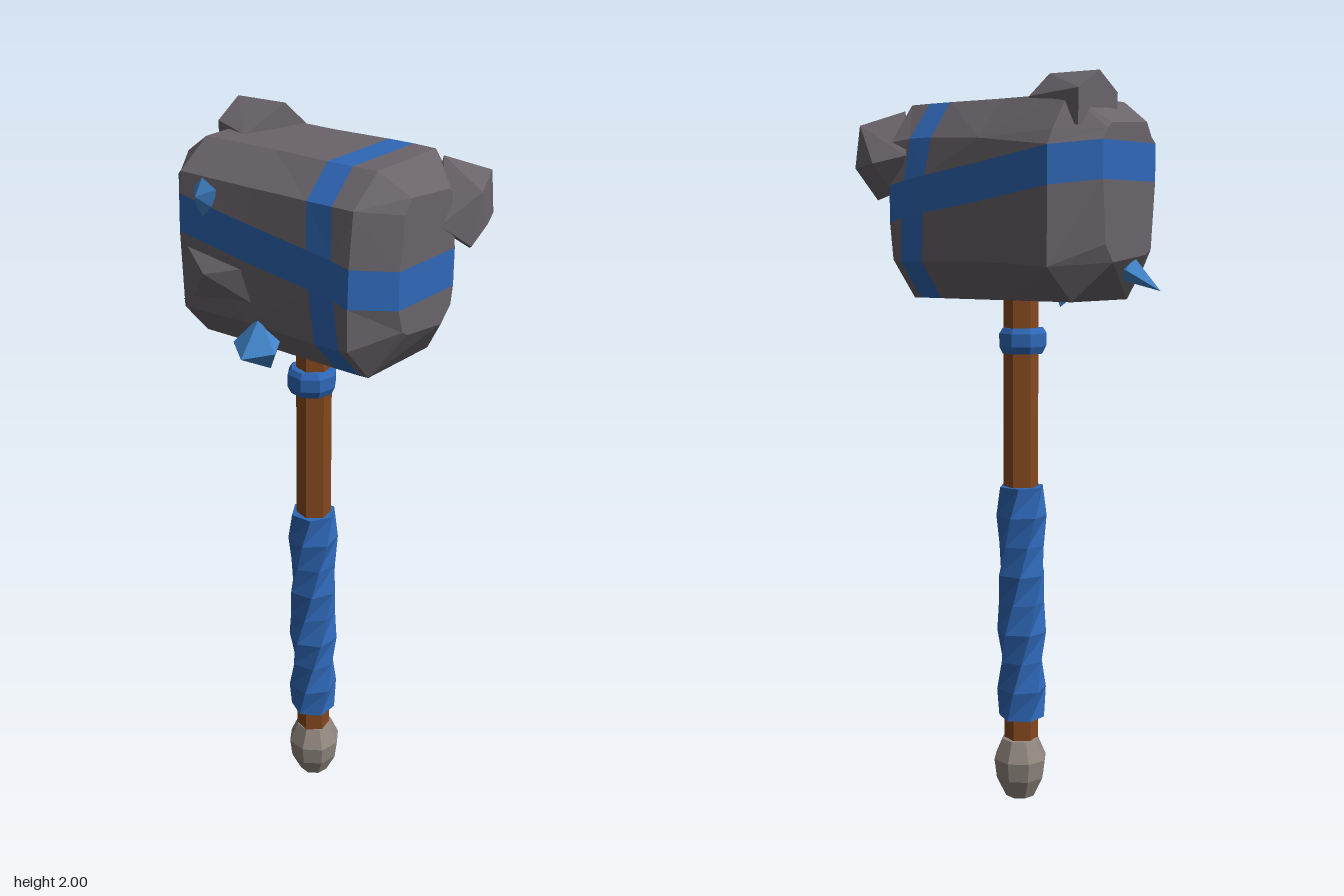
import * as THREE from 'three';
import { ConvexGeometry } from 'three/addons/geometries/ConvexGeometry.js';

const mat = (color) => new THREE.MeshStandardMaterial({ color, flatShading: true, roughness: 0.9 });
const ROCK = mat(0x6a646a), BLUE = mat(0x2f68b8), CRYSTAL = mat(0x4285cc), WOOD = mat(0x85481f), STONE = mat(0x91877f);

function add(group, name, geometry, material) {
  const mesh = new THREE.Mesh(geometry, material);
  mesh.name = name;
  group.add(mesh);
  return mesh;
}

// Faceted convex chunk from a few corner points
const chunk = (points) => new ConvexGeometry(points.map((p) => new THREE.Vector3(...p)));

function fromTriangles(list) {
  const g = new THREE.BufferGeometry();
  g.setAttribute('position', new THREE.Float32BufferAttribute(list.flat(), 3));
  g.computeVertexNormals();
  return g;
}

// Centre height of the slanting strap along the head
const strapY = (x) => 1.72 - 0.165 * x;

// Cross-section as [z, y]; a null y follows the strap (upper or lower edge)
const FULL = [[0.205, null], [0.208, null], [0.2, 1.51], [0.12, 1.42], [-0.14, 1.42], [-0.23, 1.52],
  [-0.237, null], [-0.237, null], [-0.22, 1.845], [-0.15, 1.94], [0.1, 1.935], [0.19, 1.86]];
const END = [[0.11, null], [0.11, null], [0.1, 1.56], [0.06, 1.53], [-0.07, 1.53], [-0.12, 1.56],
  [-0.125, null], [-0.125, null], [-0.11, 1.85], [-0.08, 1.875], [0.06, 1.87], [0.1, 1.85]];

function buildHead(group) {
  // x of each station, section used, and how far x leans with height
  const stations = [[-0.345, END, 0], [-0.255, FULL, 0], [-0.03, FULL, 0],
    [0.135, FULL, 1], [0.21, FULL, 1], [0.28, FULL, 0], [0.36, END, 0]];
  const rings = stations.map(([x0, section, lean], i) => section.map(([z, y0], j) => {
    const upper = j === 0 || j === 7;
    const y = y0 === null ? strapY(x0) + (upper ? 0.049 : -0.049) : y0;
    const x = x0 + lean * (1.94 - y) * 0.09;
    // small regular unevenness on the rock corners
    const bump = y0 === null || lean ? 0 : 0.009 * Math.sin(i * 4.1 + j * 2.7);
    return [x, y + (y > 1.9 || y < 1.45 ? 0 : bump), z + bump];
  }));

  const rock = [], strap = [];
  const quad = (out, a, b, c, d, flip) => out.push(...(flip ? [a, b, d, b, c, d] : [a, b, c, a, c, d]));
  for (let i = 0; i < rings.length - 1; i++) {
    for (let j = 0; j < 12; j++) {
      const k = (j + 1) % 12;
      const isStrap = i === 3 || j === 0 || j === 6;
      quad(isStrap ? strap : rock, rings[i][j], rings[i][k], rings[i + 1][k], rings[i + 1][j], (i + j) % 2);
    }
  }
  // Ends, closed in rows from top to bottom
  const rows = [[10, 9], [11, 8], [0, 7], [1, 6], [2, 5], [3, 4]];
  const first = rings[0], last = rings[rings.length - 1];
  for (let r = 0; r < rows.length - 1; r++) {
    const [p, q] = rows[r], [s, t] = rows[r + 1];
    const out = r === 2 ? strap : rock;
    quad(out, last[p], last[s], last[t], last[q]);
    quad(out, first[q], first[t], first[s], first[p]);
  }
  add(group, 'headRock', fromTriangles(rock), ROCK);
  add(group, 'headStraps', fromTriangles(strap), BLUE);
}

// Low-poly turned piece from [radius, y] points
function turned(profile, sides, x, z, turn = 0) {
  const g = new THREE.LatheGeometry(profile.map(([r, y]) => new THREE.Vector2(r, y)), sides);
  return g.rotateY(turn).translate(x, 0, z);
}

export function createModel() {
  const model = new THREE.Group();
  model.name = 'warHammer';

  // Head with its outgrowths
  const head = new THREE.Group();
  head.name = 'head';
  model.add(head);
  buildHead(head);
  add(head, 'topRock', chunk([[-0.3, 2, -0.08], [-0.15, 2, -0.09], [-0.3, 1.95, -0.17], [-0.13, 1.94, -0.15],
    [-0.3, 1.95, 0], [-0.185, 1.935, 0.03], [-0.3, 1.86, -0.17], [-0.13, 1.86, -0.15],
    [-0.3, 1.87, 0], [-0.185, 1.86, 0.03]]), ROCK);
  add(head, 'cornerRock', chunk([[0.3, 1.925, -0.15], [0.385, 1.885, -0.24], [0.41, 1.85, -0.16], [0.3, 1.78, -0.28],
    [0.38, 1.77, -0.265], [0.405, 1.72, -0.13], [0.405, 1.76, -0.2], [0.35, 1.685, -0.21],
    [0.355, 1.78, -0.06], [0.22, 1.8, -0.235], [0.28, 1.7, -0.225]]), ROCK);
  add(head, 'frontRock', chunk([[-0.15, 1.63, 0.24], [-0.25, 1.69, 0.2], [-0.23, 1.53, 0.195], [0.01, 1.56, 0.2],
    [-0.03, 1.66, 0.2], [-0.12, 1.6, 0.1]]), ROCK);

  // Crystals
  add(head, 'frontCrystal', chunk([[0.005, 1.45, 0.28], [0, 1.54, 0.2], [-0.065, 1.465, 0.228], [0.072, 1.465, 0.228],
    [0.005, 1.39, 0.165], [0, 1.48, 0.1]]), CRYSTAL);
  add(head, 'sideCrystal', chunk([[-0.412, 1.447, 0.04], [-0.335, 1.535, 0.03], [-0.335, 1.5, -0.005],
    [-0.335, 1.48, 0.06], [-0.29, 1.475, 0.03], [-0.24, 1.51, 0.03]]), CRYSTAL);
  add(head, 'smallCrystal', chunk([[-0.175, 1.865, 0.205], [-0.21, 1.835, 0.2], [-0.135, 1.84, 0.2], [-0.205, 1.79, 0.2],
    [-0.14, 1.79, 0.2], [-0.175, 1.763, 0.205], [-0.18, 1.82, 0.228], [-0.175, 1.81, 0.15]]), CRYSTAL);

  // Shaft, collar and pommel
  add(model, 'shaft', turned([[0.048, 0.14], [0.048, 1.46]], 6, 0.01, -0.008, 0.2), WOOD);
  add(model, 'collar', turned([[0.04, 1.27], [0.058, 1.27], [0.068, 1.29], [0.068, 1.325], [0.058, 1.34], [0.04, 1.34]],
    8, 0.006, -0.004, 0.2), BLUE);
  add(model, 'pommel', turned([[0, 0], [0.042, 0.003], [0.07, 0.06], [0.077, 0.115], [0.052, 0.172], [0, 0.18]],
    8, 0.01, -0.012, 0.2), STONE);

  // Twisted grip wrap
  const grip = new THREE.CylinderGeometry(0.067, 0.067, 0.665, 6, 8);
  const pos = grip.attributes.position, v = new THREE.Vector3(), up = new THREE.Vector3(0, 1, 0);
  for (let i = 0; i < pos.count; i++) {
    v.fromBufferAttribute(pos, i);
    const level = Math.round((v.y / 0.665 + 0.5) * 8);
    const swell = level % 2 ? 1.05 : 0.96;
    v.set(v.x * swell, v.y, v.z * swell).applyAxisAngle(up, level * 0.33);
    pos.setXYZ(i, v.x, v.y, v.z);
  }
  grip.translate(0.008, 0.5675, -0.008);
  add(model, 'gripWrap', grip, BLUE);

  return model;
}
